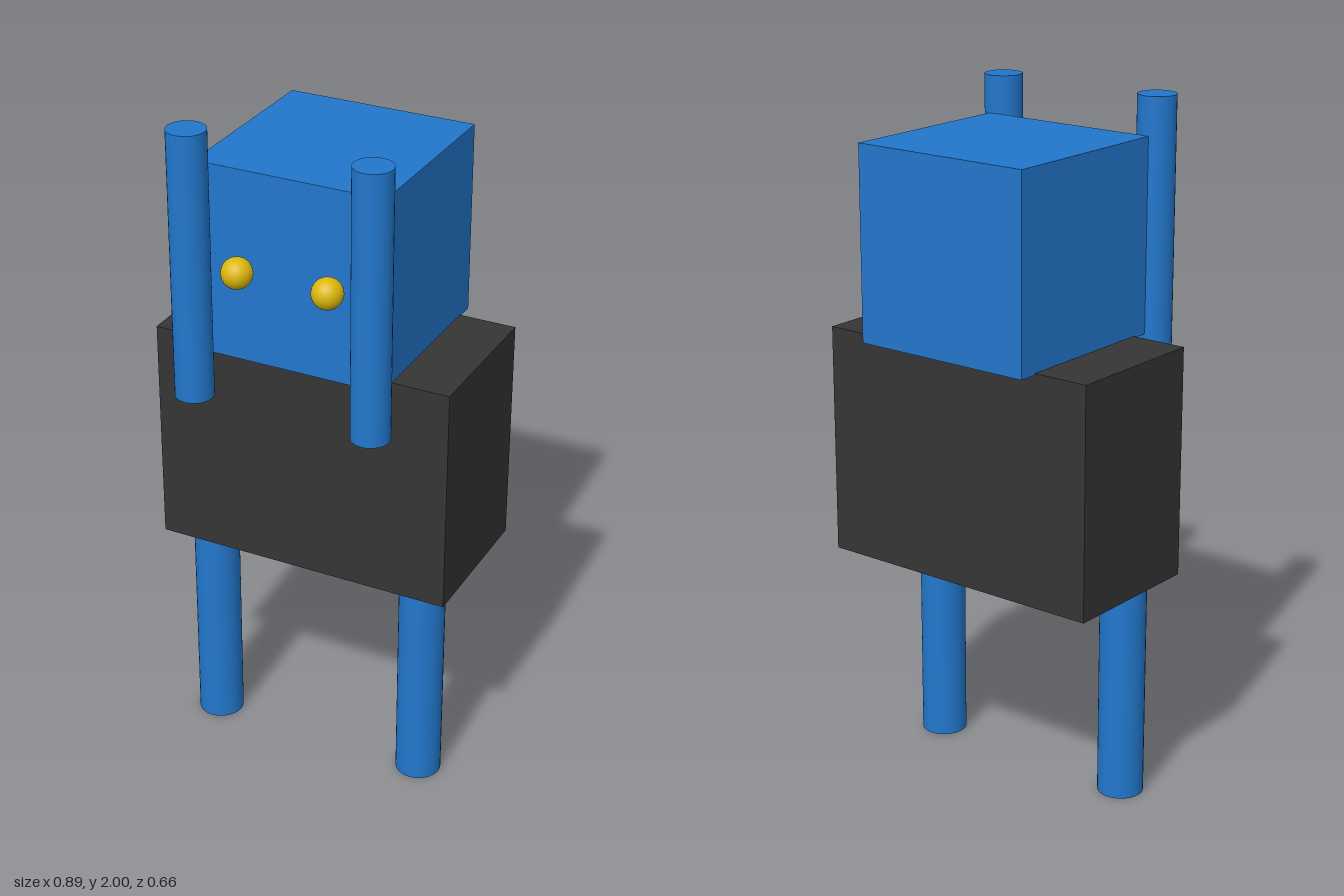
import * as THREE from 'three';

const material = (name, color) => {
  const m = new THREE.MeshStandardMaterial({ color });
  m.name = name;
  return m;
};

export function createModel() {
  const blue = material('blue', 0x2277cc);
  const charcoal = material('charcoal', 0x353535);
  const gold = material('gold', 0xdcb80c);

  const model = new THREE.Group();
  const add = (name, geometry, mat, x, y, z) => {
    const mesh = new THREE.Mesh(geometry, mat);
    mesh.name = name;
    mesh.position.set(x, y, z);
    model.add(mesh);
  };

  // Torso and the cube head resting on it
  add('body', new THREE.BoxGeometry(0.894, 0.67, 0.447), charcoal, 0, 1.003, -0.053);
  add('head', new THREE.BoxGeometry(0.558, 0.558, 0.558), blue, 0, 1.612, -0.054);

  // Mirrored limbs and eyes
  const leg = new THREE.CylinderGeometry(0.067, 0.067, 0.67, 32);
  const arm = new THREE.CylinderGeometry(0.055, 0.055, 0.78, 32);
  const eye = new THREE.SphereGeometry(0.044, 32, 16);
  for (const [side, s] of [['left', 1], ['right', -1]]) {
    add(side + 'Leg', leg, blue, s * 0.335, 0.335, 0.062);
    add(side + 'Arm', arm, blue, s * 0.268, 1.61, 0.276);
    add(side + 'Eye', eye, gold, s * 0.134, 1.612, 0.264);
  }
  return model;
}
